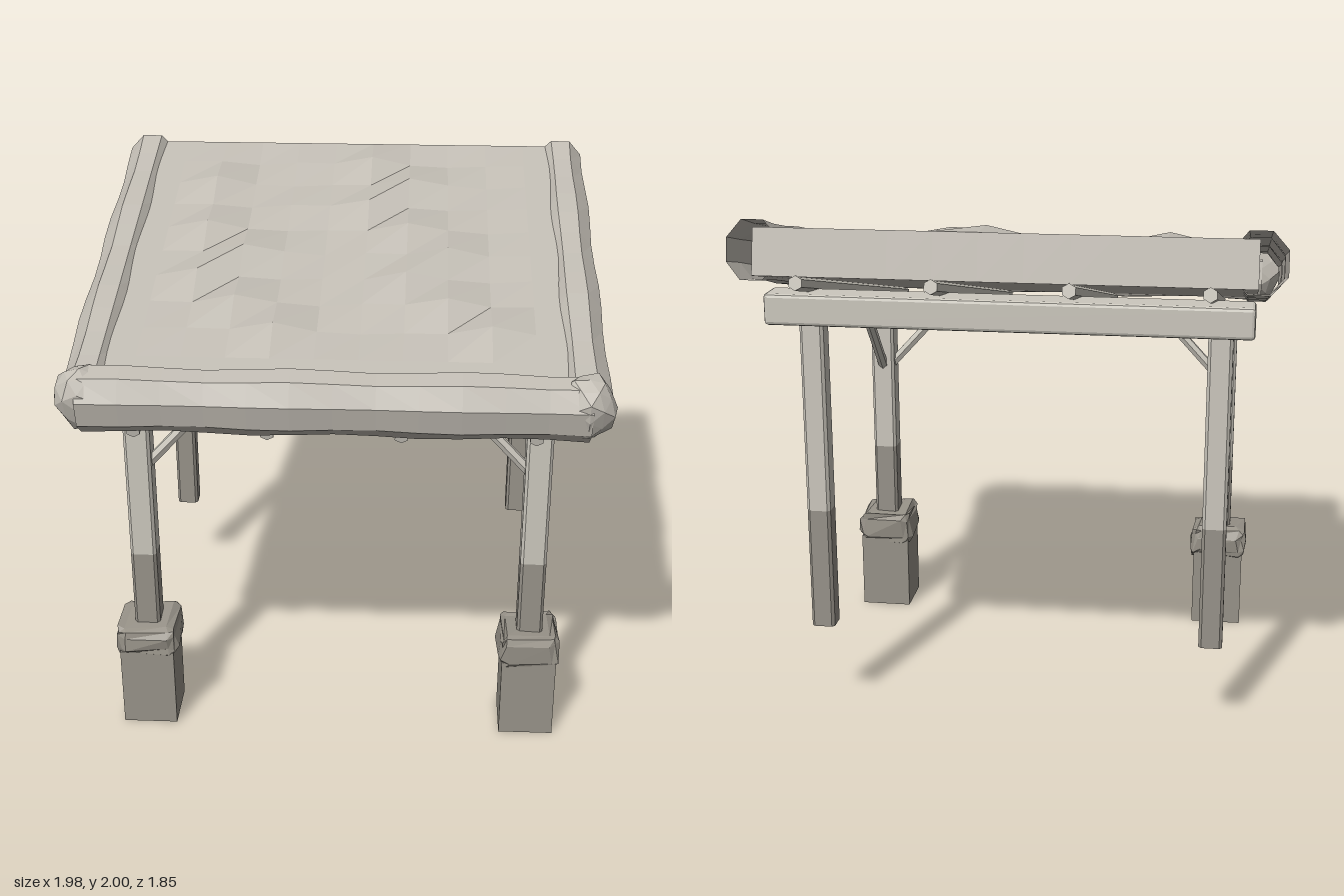
import * as THREE from 'three';
import { RoundedBoxGeometry } from 'three/addons/geometries/RoundedBoxGeometry.js';

const mat = (name, color, side = THREE.FrontSide) => {
  const m = new THREE.MeshStandardMaterial({ color, side, flatShading: true });
  m.name = name;
  return m;
};

// Moves every vertex by a rule; shared corners move together because the rule uses position only
function reshape(geo, rule) {
  const p = geo.attributes.position, v = new THREE.Vector3();
  for (let i = 0; i < p.count; i++) {
    v.fromBufferAttribute(p, i);
    rule(v);
    p.setXYZ(i, v.x, v.y, v.z);
  }
  geo.computeVertexNormals();
  return geo;
}

// Repeatable noise in -1..1
const noise = (a, b, c) => Math.sin(a * 37.1 + b * 53.7 + c * 71.3 + 1.7);

export function createModel() {
  const group = new THREE.Group();
  const wood = mat('pale wood', 0xccc8be);
  const agedWood = mat('dark wood', 0x98938a);
  const stone = mat('stone', 0x989389);
  const thatch = mat('thatch', 0xc2bdb4, THREE.DoubleSide);

  const add = (parent, name, geo, material, x = 0, y = 0, z = 0) => {
    const m = new THREE.Mesh(geo, material);
    m.name = name;
    m.position.set(x, y, z);
    parent.add(m);
    return m;
  };

  // Upright prism with chamfered corners
  const upright = (w, d, h) => {
    const c = 0.011, a = w / 2, b = d / 2;
    const s = new THREE.Shape([
      [a, -b + c], [a, b - c], [a - c, b], [-a + c, b],
      [-a, b - c], [-a, -b + c], [-a + c, -b], [a - c, -b],
    ].map(([x, y]) => new THREE.Vector2(x, y)));
    return new THREE.ExtrudeGeometry(s, { depth: h, bevelEnabled: false }).rotateX(-Math.PI / 2);
  };

  // Pole between two points
  const pole = (parent, name, from, to, radius, sides) => {
    const a = new THREE.Vector3(...from), b = new THREE.Vector3(...to);
    const m = add(parent, name, new THREE.CylinderGeometry(radius, radius, a.distanceTo(b), sides), wood);
    m.position.copy(a).lerp(b, 0.5);
    m.quaternion.setFromUnitVectors(new THREE.Vector3(0, 1, 0), b.sub(a).normalize());
  };

  // Posts, braces and footings on both sides
  for (const [side, x] of [['left', 0.748], ['right', -0.76]]) {
    const s = Math.sign(x);
    add(group, side + 'FrontPostUpper', upright(0.1, 0.1, 0.6), wood, x, 0.745, 0.533);
    add(group, side + 'FrontPostLower', upright(0.1, 0.1, 0.345), agedWood, x, 0.4, 0.533);
    add(group, side + 'BackPostUpper', upright(0.09, 0.09, 0.77), wood, x, 0.84, -0.592);
    add(group, side + 'BackPostLower', upright(0.09, 0.09, 0.48), agedWood, x, 0.36, -0.592);
    pole(group, side + 'SideBrace', [x - s * 0.03, 1.12, 0.533], [x - s * 0.26, 1.37, 0.533], 0.021, 6);
    pole(group, side + 'DepthBrace', [x, 1.11, 0.51], [x, 1.395, 0.242], 0.021, 6);

    add(group, side + 'FootingBlock', new THREE.BoxGeometry(0.212, 0.33, 0.212), stone, x, 0.165, 0.535);
    const cap = reshape(new RoundedBoxGeometry(0.235, 0.135, 0.23, 1, 0.035), (v) => {
      const { x: px, y: py, z: pz } = v;
      v.x += 0.009 * noise(px, py, pz + s);
      v.y += 0.011 * noise(py, pz, px - s);
      v.z += 0.009 * noise(pz, px + s, py);
    });
    add(group, side + 'FootingCap', cap, stone, x, 0.373, 0.535);
  }

  // Cross beams
  add(group, 'frontBeam', new RoundedBoxGeometry(1.75, 0.105, 0.105, 1, 0.013), wood, -0.006, 1.382, 0.533);
  add(group, 'backBeam', new RoundedBoxGeometry(1.75, 0.115, 0.13, 1, 0.013), wood, -0.006, 1.665, -0.75);

  // Tilted roof, pivoting on its front edge and rising to the back
  const roof = new THREE.Group();
  roof.name = 'roof';
  roof.position.set(-0.005, 1.5, 0.81);
  roof.rotation.x = 0.229;
  group.add(roof);
  const length = 1.745;

  // Thatch slab with staggered tufts
  const nx = 11, nz = 10, w = 1.76;
  const slab = reshape(new THREE.BoxGeometry(w, 0.17, length, nx, 1, nz), (v) => {
    const i = Math.round((v.x / w + 0.5) * nx), j = Math.round((v.z / length + 0.5) * nz);
    if (v.y < 0 || i < 2 || i > nx - 2 || j < 1 || j > nz - 2) return;
    const n = (i + 3 * j + (j % 3)) % 5;
    v.y += n === 0 ? 0.035 : n === 2 ? -0.012 : 0.005 * noise(i, j, 2);
  });
  add(roof, 'thatchSlab', slab, thatch, 0, -0.005, -length / 2);

  // Eight-sided wavy thatch rolls, open at the ends
  const roll = (len, rings, seed) => reshape(
    new THREE.CylinderGeometry(1, 1, len, 8, rings, true, Math.PI / 8), (v) => {
      const k = 1 + 0.05 * noise(v.y * 0.27, seed, Math.round(v.x) * 0.01);
      v.x *= k / 0.924;
      v.z *= k / 0.924;
    });
  for (const s of [1, -1]) {
    const side = s > 0 ? 'left' : 'right';
    const geo = roll(length, 12, s).rotateX(Math.PI / 2).scale(0.092, 0.104, 1);
    add(roof, side + 'EdgeRoll', geo, thatch, s * 0.882, 0, -length / 2);

    // Rough corner knot
    const knot = reshape(new THREE.IcosahedronGeometry(1, 1), (v) => {
      const r = (n) => Math.round(n * 100) / 100;
      v.multiplyScalar(1 + 0.07 * noise(r(v.x) + s, r(v.y), r(v.z)));
    }).scale(0.1, 0.125, 0.1);
    add(roof, side + 'CornerKnot', knot, thatch, s * 0.888, 0.028, 0);
  }
  const eave = roll(1.8, 12, 3).rotateZ(Math.PI / 2).scale(1, 0.114, 0.094);
  add(roof, 'frontEdgeRoll', eave, thatch, 0, 0.018, 0);

  // Rafters under the slab
  for (let i = 0; i < 4; i++) {
    const x = -0.72 + i * 0.48;
    pole(roof, 'rafter' + (i + 1), [x, -0.112, 0.02], [x, -0.112, -length - 0.005], 0.027, 6);
  }
  return group;
}
